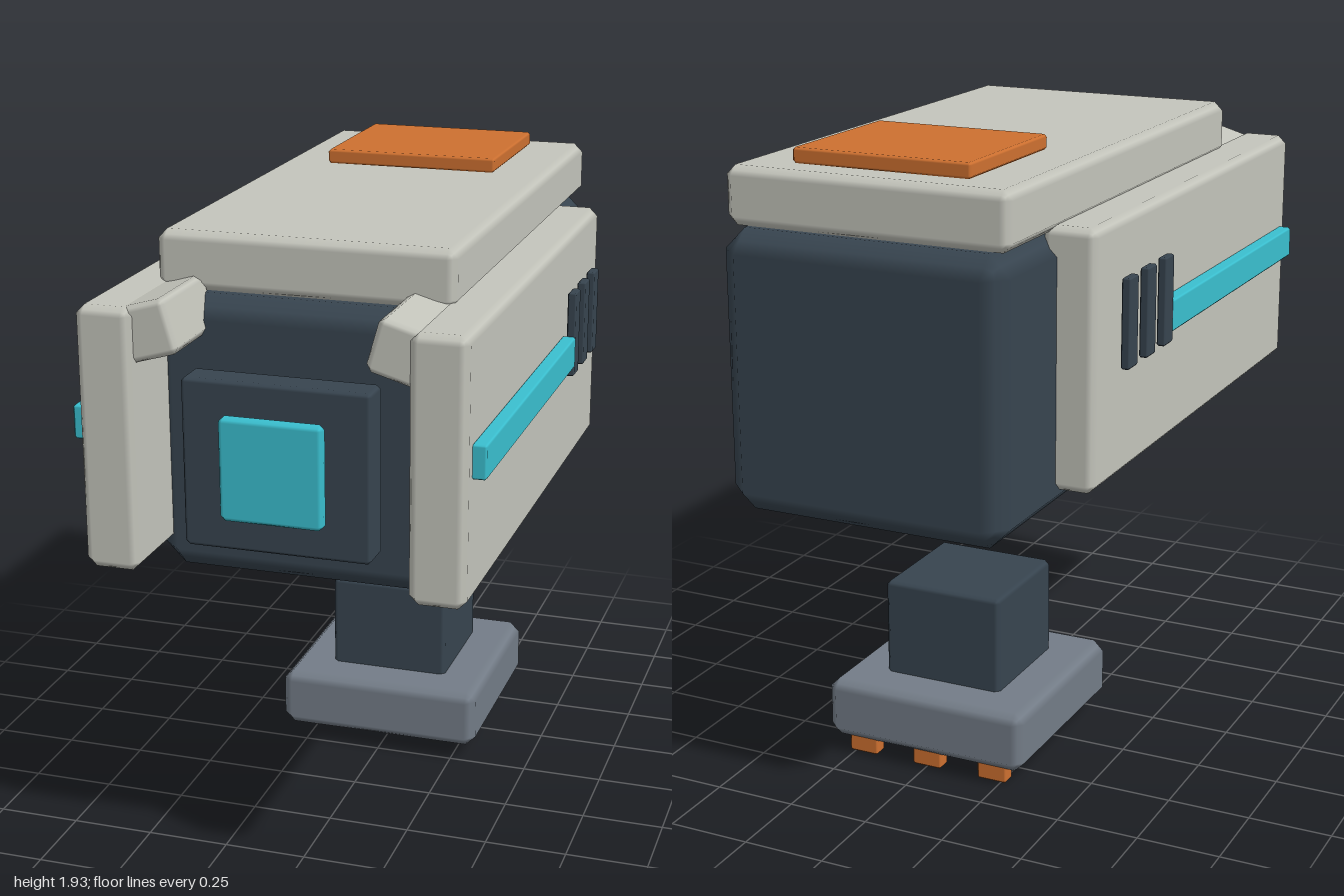
import * as THREE from 'three';

const mat = (name, color) => {
  const m = new THREE.MeshStandardMaterial({ color });
  m.name = name;
  return m;
};

// Box with a single flat chamfer on every edge and smoothly blended normals
function chamferBox(w, h, d, bevel) {
  const geo = new THREE.BoxGeometry(1, 1, 1, 3, 3, 3);
  const pos = geo.attributes.position, nor = geo.attributes.normal;
  const half = [w / 2, h / 2, d / 2];
  for (let i = 0; i < pos.count; i++) {
    const p = [pos.getX(i), pos.getY(i), pos.getZ(i)];
    const outer = p.map((v) => Math.abs(v) > 0.4);
    const n = outer.filter(Boolean).length;
    const q = p.map((v, k) => Math.sign(v) * (half[k] - (outer[k] ? (bevel * (n - 1)) / n : bevel)));
    const s = p.map((v, k) => (outer[k] ? Math.sign(v) / Math.sqrt(n) : 0));
    pos.setXYZ(i, ...q);
    nor.setXYZ(i, ...s);
  }
  return geo;
}

export function createModel() {
  const light = mat('lightShell', 0xc3c4bb);
  const dark = mat('darkCore', 0x37444f);
  const grey = mat('greyBase', 0x737c87);
  const orange = mat('orangeAccent', 0xcd7030);
  const cyan = mat('cyanGlow', 0x3abfcf);

  const model = new THREE.Group();
  model.name = 'module';

  // Adds a chamfered box given its ranges along x, y and z
  const add = (name, material, [x0, x1], [y0, y1], [z0, z1], bevel) => {
    const mesh = new THREE.Mesh(chamferBox(x1 - x0, y1 - y0, z1 - z0, bevel), material);
    mesh.position.set((x0 + x1) / 2, (y0 + y1) / 2, (z0 + z1) / 2);
    mesh.name = name;
    model.add(mesh);
    return mesh;
  };

  // Main housing and top cover
  add('body', dark, [-0.44, 0.44], [0.89, 1.715], [-1, 0.755], 0.065);
  add('topCover', light, [-0.437, 0.437], [1.715, 1.885], [-0.945, 0.695], 0.028);
  add('topPad', orange, [-0.275, 0.275], [1.885, 1.93], [-0.84, -0.345], 0.008);

  // Front plate and screen
  add('frontPlate', dark, [-0.273, 0.273], [1.05, 1.54], [0.835, 0.94], 0.012);
  add('screen', cyan, [-0.15, 0.15], [1.15, 1.45], [0.945, 0.987], 0.014);

  // Side panels with stripe, vents and front clips
  for (const s of [-1, 1]) {
    const side = s > 0 ? 'left' : 'right';
    const xr = (a, b) => (s > 0 ? [a, b] : [-b, -a]);
    add(side + 'Panel', light, xr(0.392, 0.555), [0.97, 1.735], [-0.645, 1], 0.026);
    add(side + 'Stripe', cyan, xr(0.55, 0.595), [1.333, 1.432], [-0.15, 0.945], 0.007);
    for (let i = 0; i < 3; i++) {
      const z = -0.178 - i * 0.137;
      add(side + 'Vent' + (i + 1), dark, xr(0.566, 0.593), [1.304, 1.57], [z - 0.033, z + 0.033], 0.005);
    }
    const clip = add(side + 'Clip', light, xr(0.28, 0.46), [1.585, 1.743], [0.66, 0.972], 0.018);
    clip.rotation.z = -s * 0.28;
  }

  // Separate foot with block and three contacts
  add('base', grey, [-0.33, 0.33], [0.05, 0.24], [-0.645, 0.015], 0.032);
  add('baseBlock', dark, [-0.193, 0.193], [0.2, 0.54], [-0.507, -0.123], 0.015);
  for (let i = -1; i <= 1; i++) {
    add('contact' + (i + 2), orange, [i * 0.22 - 0.048, i * 0.22 + 0.048], [0, 0.07], [-0.615, -0.565], 0.006);
  }
  return model;
}
